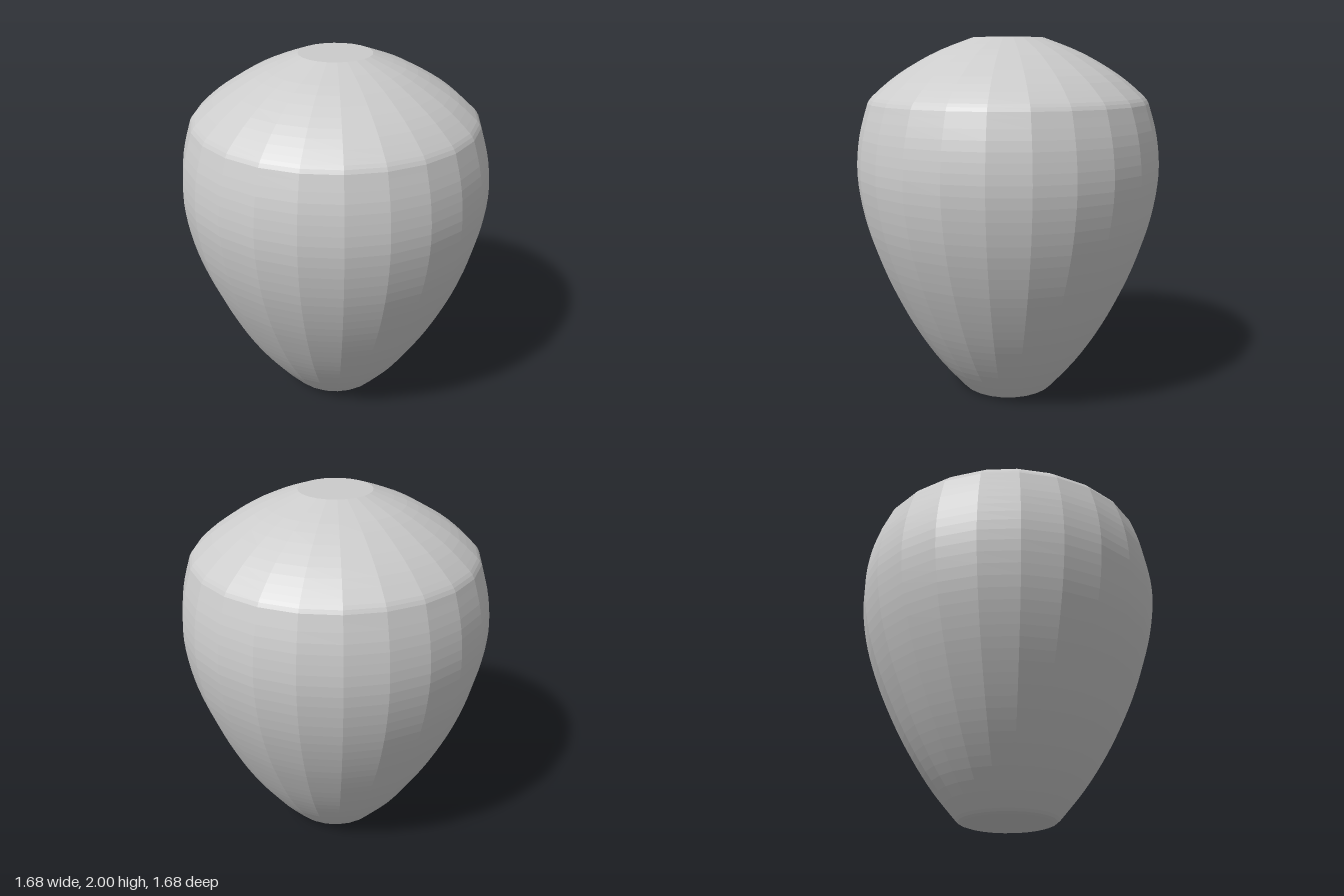
import * as THREE from 'three';

const SIDES = 24;

// Smooth profile through a few points, as [radius, height]
function curve(points, steps) {
  return new THREE.SplineCurve(points.map(([r, y]) => new THREE.Vector2(r, y))).getPoints(steps);
}

export function createModel() {
  const group = new THREE.Group();
  group.name = 'vase';
  const material = new THREE.MeshStandardMaterial({ color: 0xcccccc, flatShading: true });

  function addLathe(name, profile) {
    const mesh = new THREE.Mesh(new THREE.LatheGeometry(profile, SIDES), material);
    mesh.name = name;
    group.add(mesh);
  }

  // Flat underside with a small rounded rim
  addLathe('base', [[0, 0], [0.24, 0], [0.26, 0.007], [0.275, 0.02]].map(([r, y]) => new THREE.Vector2(r, y)));

  // Belly, widest above the middle
  addLathe('body', curve([
    [0.275, 0.02], [0.415, 0.19], [0.54, 0.38], [0.645, 0.58], [0.735, 0.79],
    [0.805, 1.02], [0.838, 1.26], [0.82, 1.47], [0.77, 1.65],
  ], 32));

  // Domed shoulder above the crease, tapering to the top
  addLathe('shoulder', curve([
    [0.77, 1.65], [0.735, 1.695], [0.6, 1.805], [0.4, 1.92], [0.195, 2],
  ], 14));

  // Flat closed top
  addLathe('top', [new THREE.Vector2(0.195, 2), new THREE.Vector2(0, 2)]);

  return group;
}
